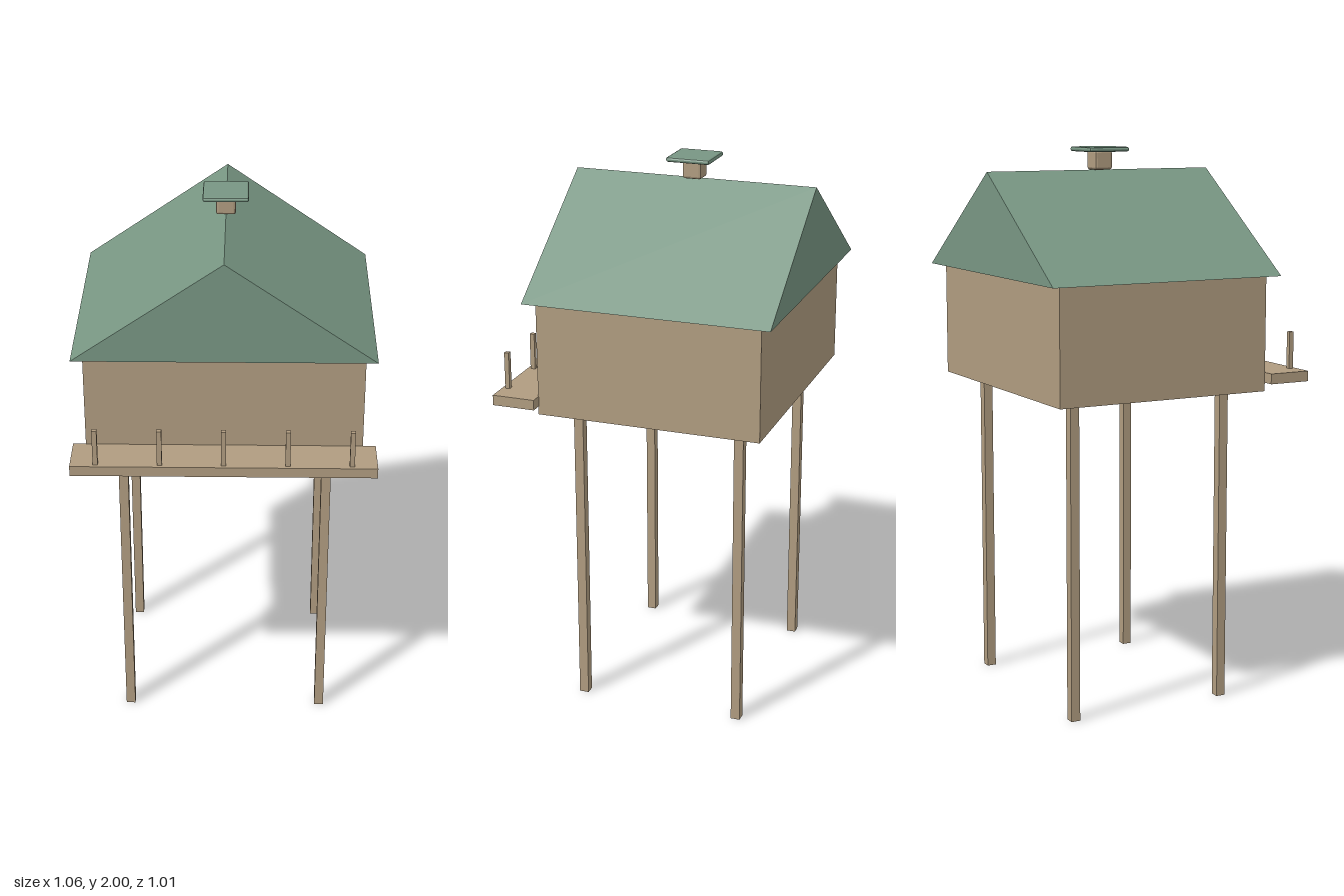
import * as THREE from 'three';
import { RoundedBoxGeometry } from 'three/addons/geometries/RoundedBoxGeometry.js';

export function createModel() {
  const model = new THREE.Group();
  model.name = 'stiltHouse';

  const wood = new THREE.MeshStandardMaterial({ color: 0xb09c80 });
  wood.name = 'tan wood';
  const green = new THREE.MeshStandardMaterial({ color: 0x789683 });
  green.name = 'green roofing';

  const add = (name, geometry, material) => {
    const mesh = new THREE.Mesh(geometry, material);
    mesh.name = name;
    model.add(mesh);
    return mesh;
  };

  // Block given by its min and max corners; a bevel gives flat chamfered edges
  const block = (name, material, [x0, y0, z0], [x1, y1, z1], bevel = 0) => {
    const size = [x1 - x0, y1 - y0, z1 - z0];
    const geometry = bevel
      ? new RoundedBoxGeometry(...size, 1, bevel)
      : new THREE.BoxGeometry(...size);
    if (bevel) geometry.computeVertexNormals();
    add(name, geometry, material).position.set((x0 + x1) / 2, (y0 + y1) / 2, (z0 + z1) / 2);
  };

  // Cabin
  block('cabin', wood, [-0.483, 1.145, -0.462], [0.483, 1.558, 0.35]);

  // Gabled roof with the ridge running front to back
  const gable = new THREE.Shape([
    new THREE.Vector2(-0.522, 1.557),
    new THREE.Vector2(0.522, 1.557),
    new THREE.Vector2(0, 1.918),
  ]);
  const roof = new THREE.ExtrudeGeometry(gable, { depth: 0.891, bevelEnabled: false });
  add('roof', roof, green).position.z = -0.504;

  // Chimney and its cap
  block('chimney', wood, [-0.035, 1.918, -0.094], [0.035, 1.988, -0.024], 0.009);
  block('chimneyCap', green, [-0.08, 1.983, -0.139], [0.08, 2, 0.021], 0.007);

  // Stilts
  for (const x of [-0.363, 0.363]) {
    for (const z of [-0.355, 0.243]) {
      block('stilt', wood, [x - 0.017, 0, z - 0.017], [x + 0.017, 1.145, z + 0.017]);
    }
  }

  // Balcony deck and its posts
  block('balconyDeck', wood, [-0.528, 1.176, 0.348], [0.528, 1.213, 0.504]);
  for (let i = -2; i <= 2; i++) {
    const x = i * 0.22;
    block('railPost', wood, [x - 0.0085, 1.213, 0.475], [x + 0.0085, 1.346, 0.492]);
  }

  return model;
}
